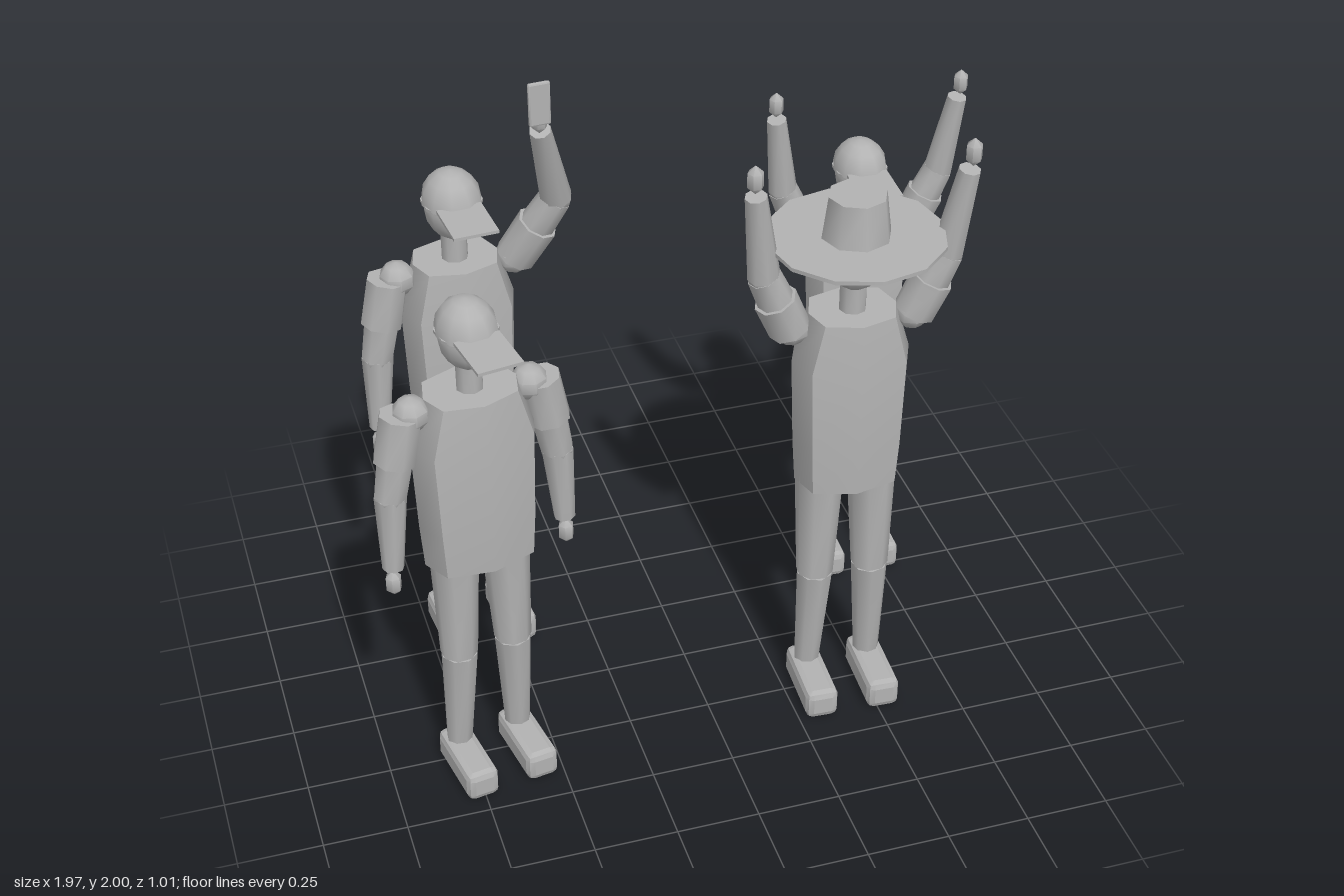
import * as THREE from 'three';
import { toCreasedNormals } from 'three/addons/utils/BufferGeometryUtils.js';
import { RoundedBoxGeometry } from 'three/addons/geometries/RoundedBoxGeometry.js';

const V = (p) => new THREE.Vector3(...p);

export function createModel() {
  const grey = new THREE.MeshStandardMaterial({ color: 0xb2b2b2 });
  grey.name = 'plain grey';

  const add = (parent, name, geo, pos = [0, 0, 0], crease = 0.9) => {
    const mesh = new THREE.Mesh(toCreasedNormals(geo, crease), grey);
    mesh.name = name;
    mesh.position.set(...pos);
    parent.add(mesh);
    return mesh;
  };

  // Tapered eight-sided limb from point a to point b
  const limb = (parent, name, a, b, ra, rb) => {
    const from = V(a), to = V(b), dir = to.clone().sub(from);
    const mesh = add(parent, name, new THREE.CylinderGeometry(rb, ra, dir.length(), 8),
      from.clone().add(to).multiplyScalar(0.5).toArray());
    mesh.quaternion.setFromUnitVectors(new THREE.Vector3(0, 1, 0), dir.normalize());
  };

  const ellipsoid = (rx, ry, rz, w, h, thetaLength = Math.PI) =>
    new THREE.SphereGeometry(1, w, h, 0, Math.PI * 2, 0, thetaLength).scale(rx, ry, rz);

  // Torso rings from bottom to top: height, half width, half depth
  const rings = [[0.8, 0.157, 0.12], [0.94, 0.166, 0.125], [1.22, 0.176, 0.122], [1.375, 0.13, 0.11]];
  const torsoGeometry = (wide) => {
    const geo = new THREE.CylinderGeometry(1, 1, 3, 8, 3);
    const p = geo.attributes.position;
    const soft = (v, e) => Math.sign(v) * Math.pow(Math.abs(v) < 1e-6 ? 0 : Math.abs(v), e);
    for (let i = 0; i < p.count; i++) {
      const [y, w, d] = rings[Math.round(p.getY(i) + 1.5)];
      p.setXYZ(i, soft(p.getX(i), 0.65) * w * wide, y, soft(p.getZ(i), 0.9) * d);
    }
    return geo;
  };

  // Arm poses for the left side: shoulder, elbow, wrist, hand
  const poses = {
    down: [[0.21, 1.345, 0], [0.258, 1.08, 0], [0.27, 0.835, 0.01], [0.273, 0.78, 0.01]],
    up: [[0.185, 1.335, 0], [0.268, 1.53, 0.015], [0.305, 1.81, 0.05], [0.31, 1.868, 0.06]],
    holding: [[0.185, 1.335, 0], [0.295, 1.555, 0.075], [0.22, 1.845, 0.18], [0.215, 1.885, 0.19]],
  };

  const addArm = (body, side, poseName) => {
    const arm = new THREE.Group();
    arm.name = side > 0 ? 'leftArm' : 'rightArm';
    body.add(arm);
    const [s, e, w, h] = poses[poseName].map(([x, y, z]) => [x * side, y, z]);
    const cuff = V(s).lerp(V(e), 0.56).toArray();
    add(arm, 'shoulder', ellipsoid(0.055, 0.055, 0.055, 8, 5), [0.18 * side, 1.34, 0]);
    limb(arm, 'sleeve', s, cuff, 0.062, 0.064);
    limb(arm, 'upperArm', cuff, e, 0.054, 0.049);
    add(arm, 'elbow', ellipsoid(0.048, 0.048, 0.048, 8, 6), e);
    limb(arm, 'forearm', e, w, 0.048, 0.032);
    add(arm, 'hand', ellipsoid(0.027, 0.044, 0.027, 6, 3), h);
    if (poseName === 'holding') {
      add(arm, 'phone', new RoundedBoxGeometry(0.066, 0.135, 0.014, 1, 0.006), [0.21 * side, 1.946, 0.212], 0.3);
    }
  };

  const addLeg = (body, side) => {
    const leg = new THREE.Group();
    leg.name = side > 0 ? 'leftLeg' : 'rightLeg';
    body.add(leg);
    const hip = [0.08 * side, 0.83, 0], knee = [0.087 * side, 0.45, 0.01], ankle = [0.097 * side, 0.08, -0.01];
    limb(leg, 'thigh', hip, knee, 0.074, 0.056);
    limb(leg, 'shin', knee, ankle, 0.056, 0.039);
    add(leg, 'shoe', new RoundedBoxGeometry(0.102, 0.098, 0.255, 1, 0.022), [0.098 * side, 0.049, 0.058], 0.3);
  };

  const addHead = (body) => {
    const head = new THREE.Group();
    head.name = 'head';
    body.add(head);
    add(head, 'neck', new THREE.CylinderGeometry(0.04, 0.04, 0.14, 8), [0, 1.42, 0]);
    add(head, 'skull', ellipsoid(0.084, 0.106, 0.097, 12, 8), [0, 1.553, 0]);
    add(head, 'nose', new THREE.BoxGeometry(0.022, 0.034, 0.03), [0, 1.545, 0.1]);
    for (const side of [-1, 1]) {
      add(head, 'eye', new THREE.BoxGeometry(0.028, 0.014, 0.009), [0.033 * side, 1.575, 0.088]);
    }
  };

  const headwear = {
    // Domed cap with a flat peak
    cap(body) {
      add(body, 'capDome', ellipsoid(0.09, 0.1, 0.104, 10, 4, Math.PI / 2), [0, 1.567, 0]);
      add(body, 'capRim', new THREE.CylinderGeometry(0.09, 0.09, 0.01, 10).scale(1, 1, 1.15), [0, 1.567, 0]);
      add(body, 'capPeak', new THREE.BoxGeometry(0.135, 0.01, 0.17), [0, 1.58, 0.157]);
    },
    // Wide-brimmed hat with a tapered crown
    hat(body) {
      add(body, 'hatBrim', new THREE.CylinderGeometry(0.258, 0.258, 0.012, 12), [0, 1.615, 0.005]);
      add(body, 'hatCrown', new THREE.CylinderGeometry(0.085, 0.103, 0.14, 8), [0, 1.68, 0.005]);
    },
  };

  const people = [
    { name: 'frontRightPerson', at: [-0.69, 0.255], yaw: 0.17, size: 0.978, wide: 1.08, wear: 'cap', left: 'down', right: 'down' },
    { name: 'backRightPerson', at: [-0.585, -0.385], yaw: 0.08, size: 0.993, wide: 1.0, wear: 'cap', left: 'holding', right: 'down' },
    { name: 'frontLeftPerson', at: [0.428, 0.232], yaw: -0.05, size: 1, wide: 1, wear: 'hat', left: 'up', right: 'up' },
    { name: 'backLeftPerson', at: [0.68, -0.395], yaw: -0.04, size: 0.925, wide: 1, wear: 'cap', left: 'up', right: 'up' },
  ];

  const model = new THREE.Group();
  model.name = 'groupOfPeople';
  for (const who of people) {
    const body = new THREE.Group();
    body.name = who.name;
    body.position.set(who.at[0], 0, who.at[1]);
    body.rotation.y = who.yaw;
    body.scale.setScalar(who.size);
    add(body, 'torso', torsoGeometry(who.wide));
    addHead(body);
    headwear[who.wear](body);
    addArm(body, 1, who.left);
    addArm(body, -1, who.right);
    addLeg(body, 1);
    addLeg(body, -1);
    model.add(body);
  }
  return model;
}
